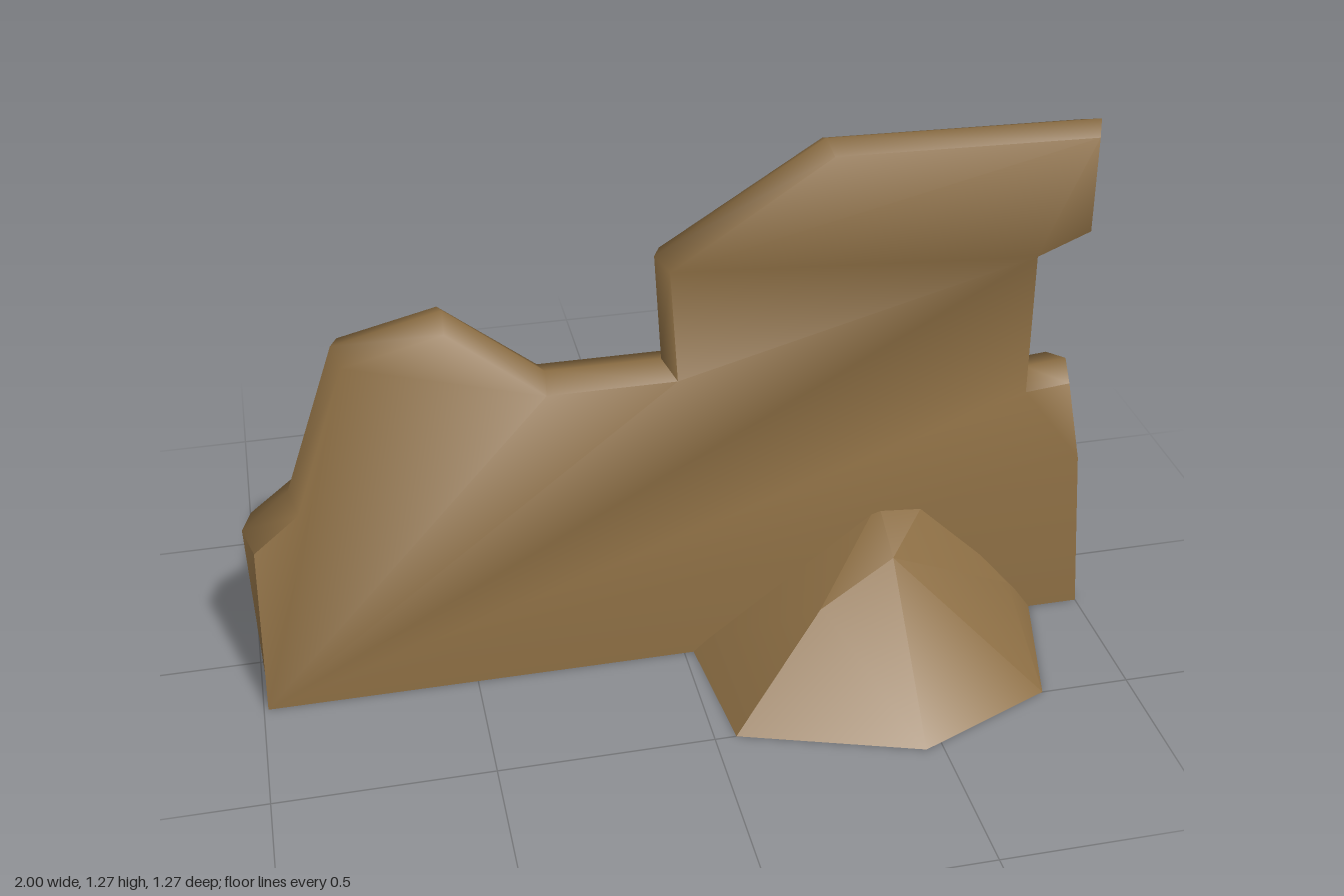
import * as THREE from 'three';
import { toCreasedNormals } from 'three/addons/utils/BufferGeometryUtils.js';

// Seen from both sides, as wall and heaps are open shells underneath
const earth = new THREE.MeshStandardMaterial({ color: 0x8b6d43, side: THREE.DoubleSide });
earth.name = 'earth brown';

function build(points, faces) {
  const g = new THREE.BufferGeometry();
  g.setAttribute('position', new THREE.Float32BufferAttribute(points.flat(), 3));
  g.setIndex(faces.flat());
  return g;
}

// Named mesh, smoothed across edges below the crease angle
function part(name, geometry, crease) {
  const mesh = new THREE.Mesh(toCreasedNormals(geometry, crease), earth);
  mesh.name = name;
  return mesh;
}

// Moves a counter-clockwise outline inwards by d
function inset(outline, d) {
  const n = outline.length;
  const normal = (a, b) => new THREE.Vector2(a[1] - b[1], b[0] - a[0]).normalize();
  return outline.map((p, i) => {
    const n1 = normal(outline[(i + n - 1) % n], p);
    const n2 = normal(p, outline[(i + 1) % n]);
    const k = d / (1 + n1.dot(n2));
    return [p[0] + (n1.x + n2.x) * k, p[1] + (n1.y + n2.y) * k];
  });
}

// Solid with two flat faces and a rim that rises to a ridge in the middle;
// points on the ground (y = 0) are not bevelled and the rim is open there
function ridgedSolid(outline, bevel, half) {
  const n = outline.length;
  const inner = inset(outline, bevel).map((p, i) => (outline[i][1] === 0 ? outline[i] : p));
  const points = [
    ...inner.map(([x, y]) => [x, y, half(y)]),
    ...outline.map(([x, y]) => [x, y, 0]),
    ...inner.map(([x, y]) => [x, y, -half(y)]),
  ];
  const caps = THREE.ShapeUtils.triangulateShape(inner.map(([x, y]) => new THREE.Vector2(x, y)), []);
  const faces = [];
  for (const [a, b, c] of caps) faces.push([a, b, c], [a + 2 * n, c + 2 * n, b + 2 * n]);
  for (let i = 0; i < n; i++) {
    const j = (i + 1) % n;
    if (outline[i][1] === 0 && outline[j][1] === 0) continue;
    for (const r of [0, n]) {
      faces.push([r + i, r + n + i, r + n + j], [r + i, r + n + j, r + j]);
    }
  }
  return build(points, faces);
}

export function createModel() {
  const model = new THREE.Group();
  model.name = 'ruinedWall';

  // Broken wall, thinner towards the top
  const broken = [
    [-0.99, 0], [1, 0], [0.99, 0.42], [0.945, 0.65], [0.842, 0.64], [0.842, 0.95],
    [0.965, 1.0], [0.965, 1.262], [0.33, 1.275], [-0.05, 1.03], [-0.035, 0.77],
    [-0.3, 0.77], [-0.52, 0.95], [-0.765, 0.89], [-0.89, 0.53], [-1, 0.44],
  ];
  const wall = part('brokenWall', ridgedSolid(broken, 0.022, (y) => 0.1 - y * 0.039), 1.3);
  wall.position.z = 0.08;
  model.add(wall);

  // Rubble heap at the front
  model.add(part('frontRubble', build(
    [
      [0.02, 0, 0.15], [0.05, 0, 0.5], [0.46, 0, 0.635], [0.79, 0, 0.5], [0.885, 0, 0.15],
      [0.28, 0.22, 0.36], [0.47, 0.295, 0.3], [0.48, 0.345, 0.14], [0.6, 0.335, 0.14], [0.81, 0.09, 0.19],
    ],
    [
      [0, 1, 5], [5, 1, 2], [5, 2, 6], [6, 2, 3], [6, 3, 9], [9, 3, 4],
      [6, 9, 8], [9, 4, 8], [5, 6, 7], [6, 8, 7], [0, 5, 7],
    ]), 0.6));

  // Rubble heap at the back
  model.add(part('backRubble', build(
    [
      [-0.83, 0, 0], [-0.78, 0, -0.23], [-0.54, 0, -0.34], [-0.34, 0, -0.55], [-0.1, 0, -0.48], [0.15, 0, 0],
      [-0.67, 0.27, 0.01], [-0.28, 0.49, 0.01], [-0.17, 0.44, -0.2],
    ],
    [
      [6, 1, 0], [6, 2, 1], [7, 2, 6], [7, 3, 2], [7, 8, 3], [8, 4, 3], [8, 5, 4], [7, 5, 8],
    ]), 1.2));

  // Fallen slab, tilted against the back heap
  const slabOutline = [[-0.21, 0.42], [-0.1, 0.12], [0.13, 0.01], [0.37, 0.33], [0.16, 0.635]];
  const slab = ridgedSolid(slabOutline, 0.04, () => 0.05);
  slab.rotateX(-Math.PI / 2);
  const sp = slab.attributes.position;
  for (let i = 0; i < sp.count; i++) {
    sp.setY(i, sp.getY(i) + 0.422 - 0.51 * sp.getX(i) + 0.46 * sp.getZ(i));
  }
  model.add(part('fallenSlab', slab, 1.4));

  return model;
}
